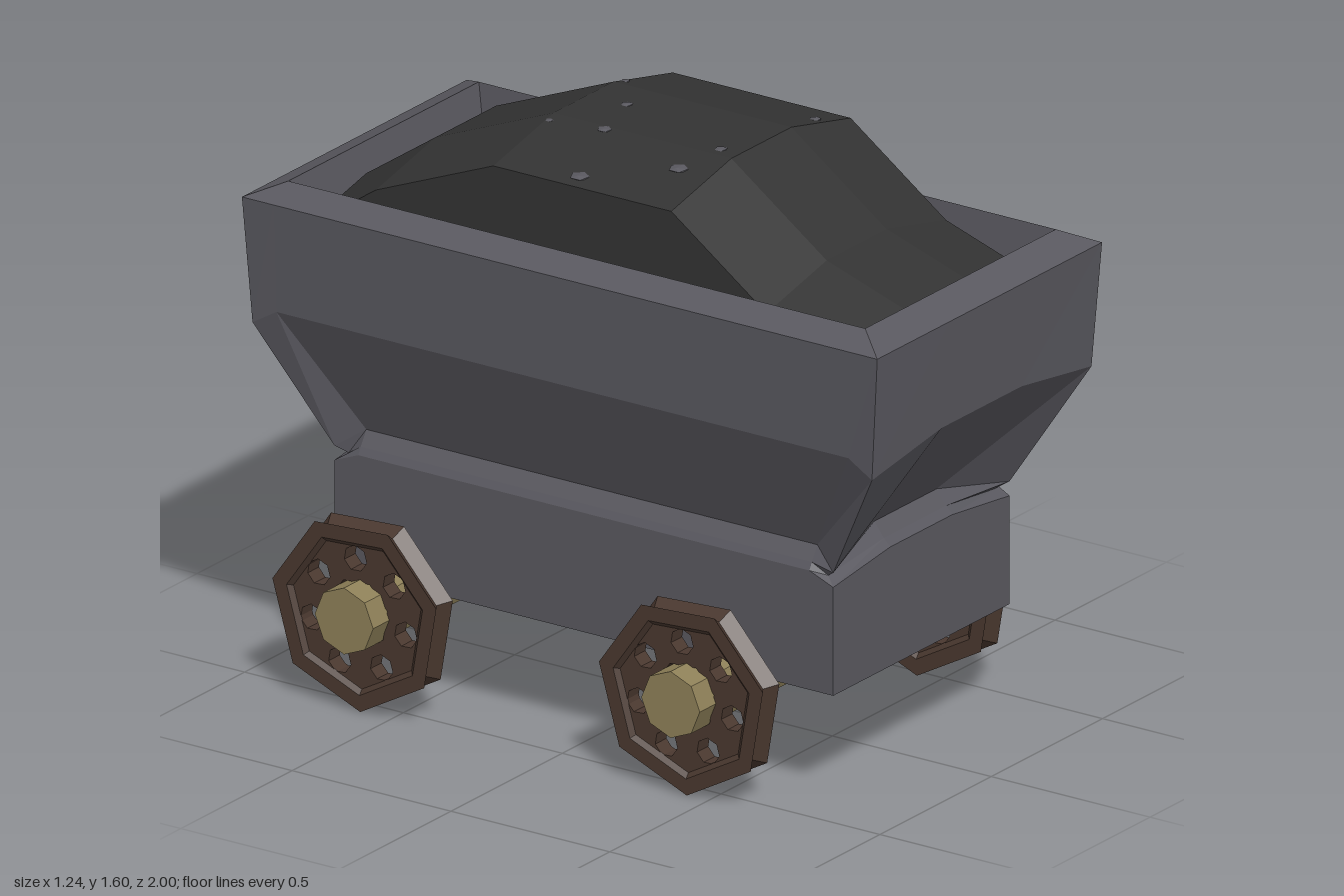
import * as THREE from 'three';

const mat = (name, color) => Object.assign(new THREE.MeshStandardMaterial({ color, flatShading: true }), { name });

// Skin a list of equally long point rows with quads; optional extra triangles close the ends
function skin(rows, closed, caps) {
  const n = rows[0].length, pos = rows.flat(2), idx = [];
  for (let i = 0; i < rows.length - 1; i++)
    for (let j = 0; j < (closed ? n : n - 1); j++) {
      const k = (j + 1) % n, a = i * n + j, b = i * n + k;
      idx.push(a, b, b + n, a, b + n, a + n);
    }
  if (caps) {
    const last = (rows.length - 1) * n;
    for (let j = 1; j < n - 1; j++) idx.push(0, j + 1, j, last, last + j, last + j + 1);
  }
  const g = new THREE.BufferGeometry();
  g.setAttribute('position', new THREE.Float32BufferAttribute(pos, 3));
  g.setIndex(idx);
  g.computeVertexNormals();
  return g;
}

// Twelve-point ring: corners, two points per short end, two points per long side
function ring([cx, cz, cy], m, [sx, ez, my], sz) {
  const half = [[m, my, ez], [cx, cy, cz], [sx, my, sz], [sx, my, -sz], [cx, cy, -cz], [m, my, -ez]];
  return [...half, ...half.map(([x, y, z]) => [-x, y, -z])];
}

export function createModel() {
  const group = new THREE.Group();
  const iron = mat('greyIron', 0x59585f), coalMat = mat('blackCoal', 0x333333);
  const rust = mat('rustyBrown', 0x4a382f), brass = mat('dullBrass', 0x8e8058);
  const add = (name, geo, material, parent = group) => {
    const mesh = new THREE.Mesh(geo, material);
    mesh.name = name;
    parent.add(mesh);
    return mesh;
  };

  // Tub: lower box, pinched neck, flared hopper, sloping rim and inner walls
  const tub = add('tub', skin([
    ring([0.396, 0.785, 0.31], 0.14, [0.396, 0.785, 0.31], 0.71),
    ring([0.396, 0.785, 0.61], 0.14, [0.396, 0.785, 0.64], 0.71),
    ring([0.375, 0.755, 0.63], 0.14, [0.385, 0.765, 0.66], 0.71),
    ring([0.396, 0.785, 0.65], 0.14, [0.36, 0.735, 0.70], 0.71),
    ring([0.493, 0.975, 0.98], 0.18, [0.493, 0.975, 1.025], 0.9),
    ring([0.505, 1.0, 1.325], 0.18, [0.505, 1.0, 1.325], 0.9),
    ring([0.428, 0.908, 1.365], 0.16, [0.428, 0.908, 1.365], 0.83),
    ring([0.415, 0.885, 1.24], 0.16, [0.415, 0.885, 1.24], 0.83),
    ring([0.415, 0.885, 1.1], 0.16, [0.415, 0.885, 1.1], 0.83),
  ], true, true), iron);
  tub.position.x = -0.007;

  // Coal heap: one arched section per z, with vertical sides
  const low = 1.09;
  const heap = [[0.87, low], [0.87, 1.29], [0.58, 1.385], [0.28, 1.6], [-0.28, 1.6], [-0.65, 1.45], [-0.87, 1.3], [-0.87, low]];
  add('coalHeap', skin(heap.map(([z, y]) => {
    const edge = Math.max(low, y - 0.06);
    return [[-0.41, low, z], [-0.41, edge, z], [-0.14, y, z], [0.13, y, z], [0.396, edge, z], [0.396, low, z]];
  }), false), coalMat);

  // Grey pebbles half buried in the heap
  for (const [x, z, r] of [[-0.36, -0.04, 0.03], [-0.15, -0.11, 0.022], [-0.23, 0.18, 0.03], [0.28, 0.25, 0.017],
    [-0.1, 0.22, 0.018], [0.02, -0.16, 0.017], [-0.17, -0.27, 0.012], [0.17, -0.27, 0.012]]) {
    const pebble = add('pebble', new THREE.IcosahedronGeometry(r, 0), iron);
    pebble.scale.y = 0.25;
    pebble.position.set(x, 1.6 - 0.225 * Math.max(0, Math.abs(x) - 0.135), z);
  }

  // Seven-sided wheel: grooved rim plus a pierced disc
  const turn = 0.057, R = 0.265;
  const rimGeo = new THREE.LatheGeometry([[0.205, -0.024], [0.22, -0.037], [R, -0.037], [0.238, 0], [R, 0.037],
    [0.22, 0.037], [0.205, 0.024], [0.205, -0.024]].map(([r, y]) => new THREE.Vector2(r, y)), 7, Math.PI / 2 - turn);
  rimGeo.rotateZ(-Math.PI / 2);
  const polygon = (r, n, start, x = 0, y = 0) => Array.from({ length: n }, (_, i) => {
    const a = start + (i * 2 * Math.PI) / n;
    return new THREE.Vector2(x + r * Math.cos(a), y + r * Math.sin(a));
  });
  const start = -Math.PI / 2 - turn;
  const disc = new THREE.Shape(polygon(0.212, 7, start));
  disc.holes.push(new THREE.Path(polygon(0.096, 7, start)));
  for (const p of polygon(0.152, 7, start + Math.PI / 7))
    disc.holes.push(new THREE.Path(polygon(0.036, 7, p.angle(), p.x, p.y)));
  const discGeo = new THREE.ExtrudeGeometry(disc, { depth: 0.05, bevelEnabled: false });
  discGeo.translate(0, 0, -0.025).rotateY(Math.PI / 2);

  // Two axles, each with a wheel at both ends
  const axleGeo = new THREE.CylinderGeometry(0.092, 0.092, 1.24, 8);
  axleGeo.rotateZ(Math.PI / 2);
  for (const [name, z] of [['front', 0.425], ['rear', -0.603]]) {
    const set = new THREE.Group();
    set.name = name + 'WheelSet';
    set.position.set(0, 0.27, z);
    group.add(set);
    add(name + 'Axle', axleGeo, brass, set).position.y = 0.004;
    for (const [side, x] of [['Left', 0.511], ['Right', -0.523]]) {
      const wheel = new THREE.Group();
      wheel.name = name + side + 'Wheel';
      wheel.position.set(x, 0, -0.006);
      add('rim', rimGeo, rust, wheel);
      add('disc', discGeo, rust, wheel);
      set.add(wheel);
    }
  }
  return group;
}
